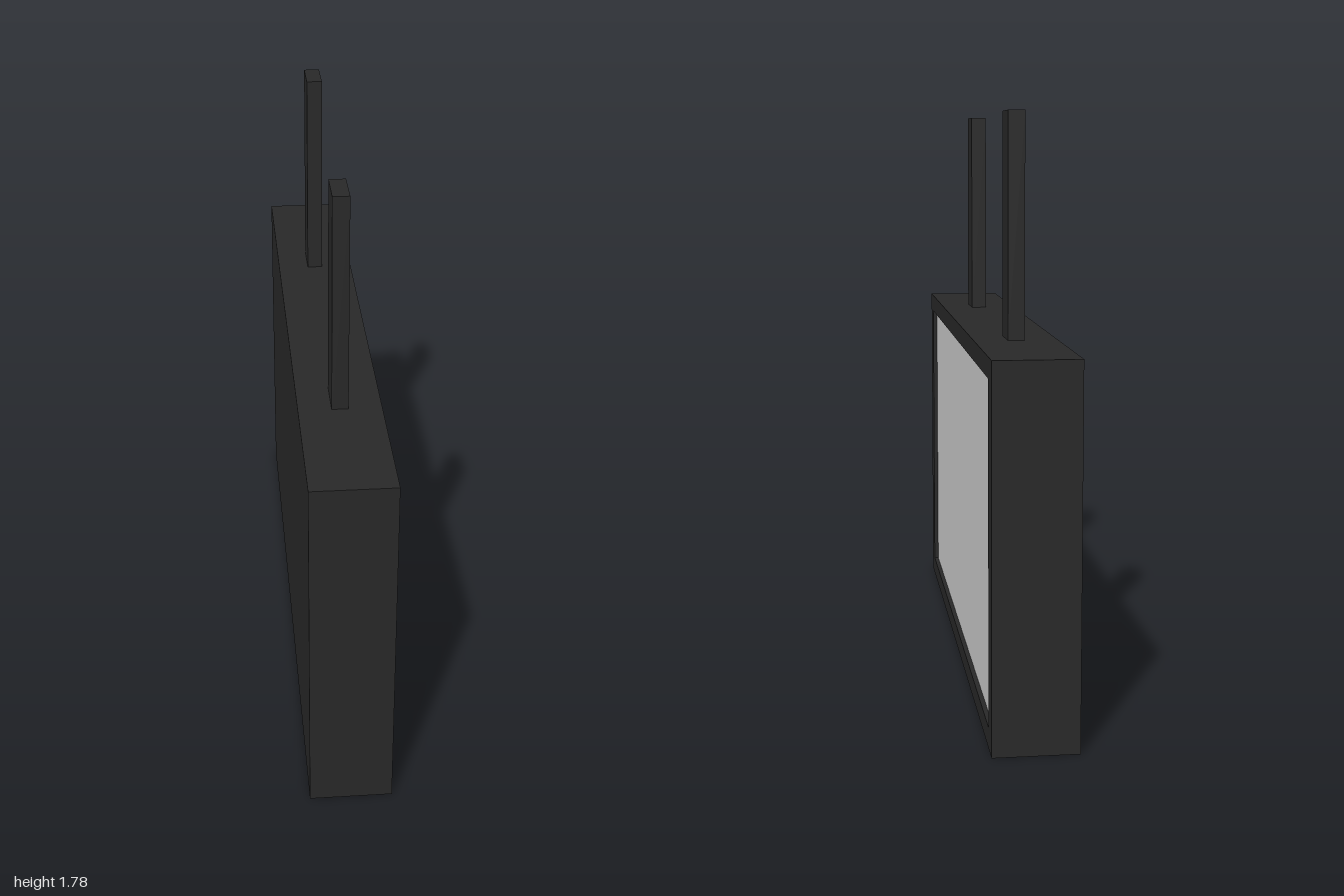
import * as THREE from 'three';

const H = 1.11, L = 2, D = 0.25, RECESS = 0.015;

export function createModel() {
  const group = new THREE.Group();
  const dark = new THREE.MeshStandardMaterial({ color: 0x282828 });
  const grey = new THREE.MeshStandardMaterial({ color: 0xcccccc });

  const box = (name, material, [w, h, d], [x, y, z]) => {
    const mesh = new THREE.Mesh(new THREE.BoxGeometry(w, h, d), material);
    mesh.name = name;
    mesh.position.set(x, y, z);
    group.add(mesh);
  };

  // Solid housing up to the bottom of the recess
  box('housing', dark, [D - RECESS, H, L], [-RECESS / 2, H / 2, 0]);

  // Raised rim around the panel, facing +x
  const rim = new THREE.Shape([[-1, 0], [1, 0], [1, H], [-1, H]].map(p => new THREE.Vector2(...p)));
  rim.holes.push(new THREE.Path([[-0.92, 0.06], [-0.92, 1.05], [0.92, 1.05], [0.92, 0.06]]
    .map(p => new THREE.Vector2(...p))));
  const rimGeometry = new THREE.ExtrudeGeometry(rim, { depth: RECESS, bevelEnabled: false });
  rimGeometry.rotateY(Math.PI / 2);
  const frame = new THREE.Mesh(rimGeometry, dark);
  frame.name = 'frame';
  frame.position.x = D / 2 - RECESS;
  group.add(frame);

  // Display panel just above the recess floor
  const panel = new THREE.Mesh(new THREE.PlaneGeometry(1.84, 0.99), grey);
  panel.name = 'panel';
  panel.rotation.y = Math.PI / 2;
  panel.position.set(D / 2 - RECESS + 0.001, 0.555, 0);
  group.add(panel);

  // Two hanging posts
  for (const z of [0.5, -0.5]) {
    box(z > 0 ? 'frontPost' : 'backPost', dark, [0.05, 0.67, 0.13], [0, H + 0.335, z]);
  }
  return group;
}
